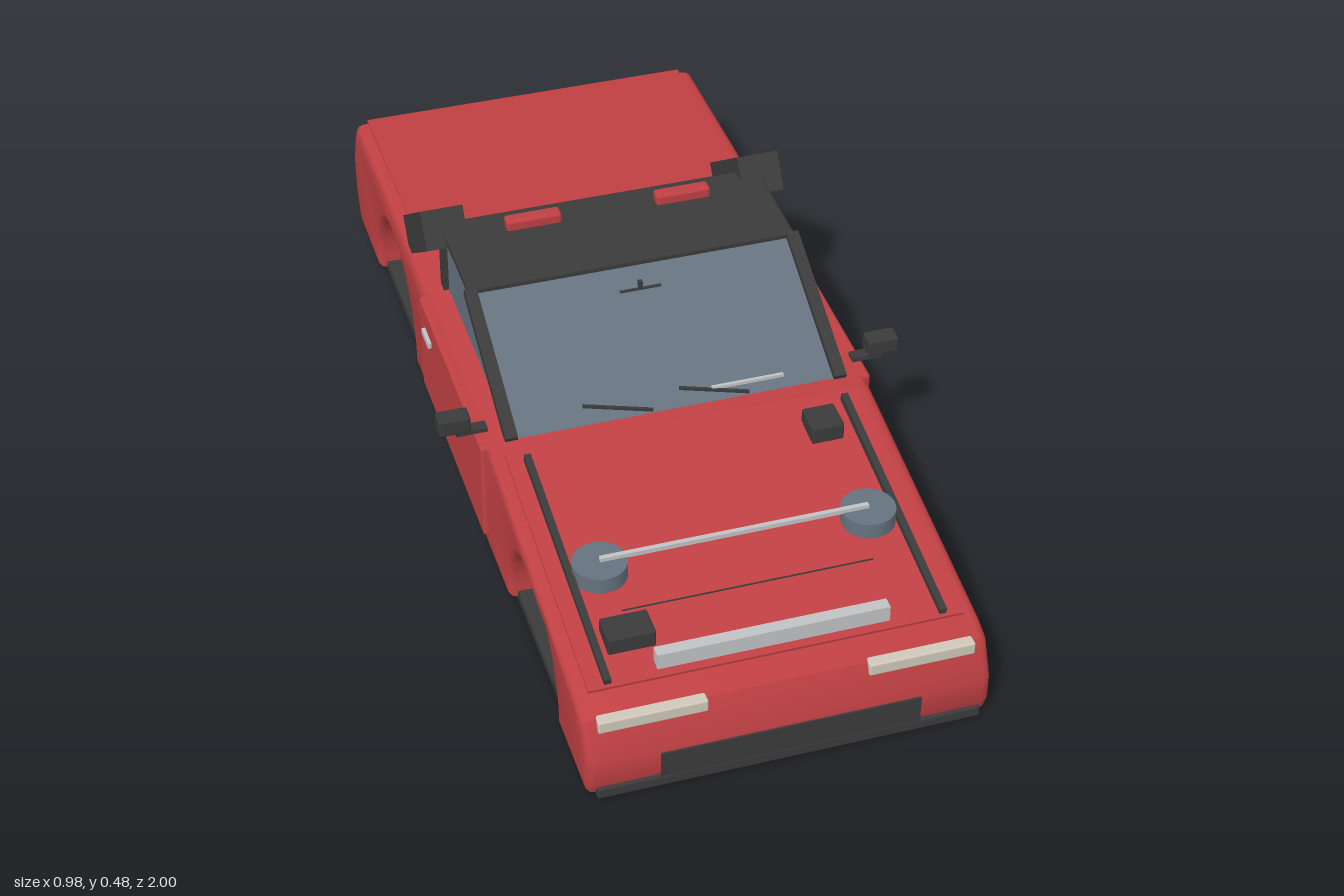
import * as THREE from 'three';
import { toCreasedNormals } from 'three/addons/utils/BufferGeometryUtils.js';
import { RoundedBoxGeometry } from 'three/addons/geometries/RoundedBoxGeometry.js';

const mat = (name, color, side = THREE.FrontSide) => {
  const m = new THREE.MeshStandardMaterial({ color, side });
  m.name = name;
  return m;
};

export function createModel() {
  const car = new THREE.Group();
  car.name = 'car';
  const red = mat('body red', 0xc04043);
  const dark = mat('dark trim', 0x3b3b3b);
  const glass = mat('glass', 0x66727f, THREE.DoubleSide);
  const silver = mat('silver', 0xc0c2c4);
  const cream = mat('lamp cream', 0xcfc8ba);
  const lamp = mat('tail lamp red', 0xb02c1c);

  const add = (name, geo, material) => {
    const m = new THREE.Mesh(geo, material);
    m.name = name;
    car.add(m);
    return m;
  };
  // Box given by its limits on each axis
  const box = (name, material, [x0, x1], [y0, y1], [z0, z1], r = 0) => {
    const s = [x1 - x0, y1 - y0, z1 - z0];
    const g = r ? new RoundedBoxGeometry(...s, 2, r) : new THREE.BoxGeometry(...s);
    const m = add(name, g, material);
    m.position.set((x0 + x1) / 2, (y0 + y1) / 2, (z0 + z1) / 2);
    return m;
  };
  // Square bar between two points
  const bar = (name, material, a, b, w, h = w) => {
    const p = new THREE.Vector3(...a), q = new THREE.Vector3(...b);
    const m = add(name, new THREE.BoxGeometry(w, h, p.distanceTo(q)), material);
    m.position.copy(p).add(q).multiplyScalar(0.5);
    m.lookAt(q);
    return m;
  };
  // Outline of (z, y) points extruded across the car
  const across = (shape, width, bevel) => {
    const g = new THREE.ExtrudeGeometry(shape, {
      depth: width - 2 * bevel, bevelEnabled: bevel > 0, bevelSize: bevel,
      bevelThickness: bevel, bevelOffset: -bevel, bevelSegments: 3, curveSegments: 28,
    });
    g.translate(0, 0, -(width - 2 * bevel) / 2);
    g.rotateY(-Math.PI / 2);
    return toCreasedNormals(g, 0.6);
  };
  // Flat pane from a loop of corners
  const pane = (name, material, pts) => {
    const g = new THREE.BufferGeometry();
    g.setAttribute('position', new THREE.Float32BufferAttribute(pts.flat(), 3));
    const idx = [];
    for (let i = 1; i < pts.length - 1; i++) idx.push(0, i, i + 1);
    g.setIndex(idx);
    g.computeVertexNormals();
    return add(name, g, material);
  };

  // Body shell with open wheel arches
  const s = new THREE.Shape();
  s.moveTo(-0.95, 0.012);
  s.lineTo(-0.755, 0.012);
  s.lineTo(-0.755, 0.05);
  s.absarc(-0.572, 0.05, 0.183, Math.PI, 0, true);
  s.lineTo(-0.389, 0.012);
  s.lineTo(0.42, 0.012);
  s.lineTo(0.42, 0.04);
  s.absarc(0.602, 0.04, 0.182, Math.PI, 0, true);
  s.lineTo(0.784, 0.012);
  s.lineTo(0.985, 0.012);
  [[0.996, 0.04], [0.996, 0.1], [0.96, 0.175], [0.92, 0.19], [0.28, 0.288], [-0.26, 0.288],
    [-0.38, 0.302], [-0.6, 0.302], [-0.935, 0.292], [-0.96, 0.255], [-0.99, 0.18],
    [-0.985, 0.1], [-0.965, 0.04]].forEach(p => s.lineTo(...p));
  s.closePath();
  add('body', across(s, 0.81, 0.018), red);

  // Floor and wheel wells
  box('floor', dark, [-0.385, 0.385], [0.005, 0.026], [-0.94, 0.965]);
  for (const [z, y] of [[0.602, 0.035], [-0.572, 0.04]]) {
    const g = new THREE.CylinderGeometry(0.178, 0.178, 0.5, 32, 1, false, 0, Math.PI);
    g.rotateZ(Math.PI / 2);
    const well = add('wheelWell', g, dark);
    well.position.set(0, y, z);
    // keep the rounded half of the drum facing up
    g.computeBoundingBox();
    if (g.boundingBox.max.y < 0.1) g.rotateX(Math.PI);
    if (g.boundingBox.max.z < 0.1) g.rotateX(-Math.PI / 2);
  }

  // Hood and rear deck panels
  const hoodY = z => 0.288 - (0.28 - z) * -0.153;
  const slope = Math.atan(0.153);
  const hood = add('hood', new THREE.BoxGeometry(0.75, 0.008, 0.61), red);
  hood.position.set(0, hoodY(0.605) + 0.002, 0.605);
  hood.rotation.x = slope;
  bar('hoodSeam', dark, [-0.26, hoodY(0.74) + 0.006, 0.74], [0.25, hoodY(0.74) + 0.006, 0.74], 0.003);
  bar('rearDeck', red, [0, 0.303, -0.46], [0, 0.293, -0.94], 0.75, 0.012);

  // Parts standing on the hood
  for (const x of [-0.275, 0.275]) {
    add('strutTower', new THREE.CylinderGeometry(0.055, 0.055, 0.035, 28), glass)
      .position.set(x, 0.252, 0.64);
  }
  bar('strutBrace', silver, [-0.275, 0.273, 0.64], [0.275, 0.273, 0.64], 0.01);
  box('radiatorBar', silver, [-0.235, 0.23], [0.195, 0.236], [0.865, 0.89]);
  box('batteryBox', dark, [-0.315, -0.22], [0.205, 0.246], [0.77, 0.835], 0.004);
  box('fluidBox', dark, [0.232, 0.3], [0.27, 0.31], [0.36, 0.43], 0.004);
  bar('cowlRod', silver, [0.08, 0.305, 0.238], [0.235, 0.305, 0.238], 0.007);

  // Cabin glass
  pane('windshield', glass, [[-0.345, 0.288, 0.26], [0.345, 0.288, 0.26], [0.345, 0.432, -0.055], [-0.345, 0.432, -0.055]]);
  pane('rearWindow', glass, [[0.31, 0.302, -0.465], [-0.31, 0.302, -0.465], [-0.31, 0.43, -0.29], [0.31, 0.43, -0.29]]);

  // Roof with two red vents
  box('roof', dark, [-0.355, 0.355], [0.422, 0.443], [-0.3, -0.05], 0.006);
  for (const x of [-0.165, 0.165]) {
    box('roofVent', red, [x - 0.06, x + 0.06], [0.438, 0.465], [-0.257, -0.225], 0.006);
  }

  // Wipers and rear-view mirror
  for (const x of [-0.19, 0.015]) {
    bar('wiper', dark, [x, 0.31, 0.225], [x + 0.14, 0.294, 0.258], 0.006);
  }
  box('mirrorBar', dark, [-0.045, 0.045], [0.403, 0.408], [-0.004, 0.004]);
  box('mirrorStem', dark, [-0.004, 0.004], [0.4, 0.425], [-0.006, 0.004]);

  // Mirrored side parts
  for (const k of [-1, 1]) {
    const side = (a, b) => (k > 0 ? [a, b] : [-b, -a]);
    pane('sideWindow', glass, [[0.348 * k, 0.288, 0.25], [0.348 * k, 0.43, -0.05],
      [0.348 * k, 0.43, -0.28], [0.348 * k, 0.288, -0.28]]);
    bar('windshieldPillar', dark, [0.35 * k, 0.29, 0.265], [0.35 * k, 0.436, -0.055], 0.026, 0.02);
    box('centrePillar', dark, side(0.335, 0.36), [0.285, 0.43], [-0.29, -0.265]);
    // sloping rear buttress
    const b = add('rearButtress', new THREE.BoxGeometry(0.092, 0.085, 0.226), dark);
    b.position.set(0.351 * k, 0.384, -0.357);
    b.rotation.x = -0.63;
    box('door', red, side(0.38, 0.416), [0.052, 0.287], [-0.265, 0.27], 0.008);
    box('doorHandle', silver, side(0.41, 0.424), [0.226, 0.24], [-0.212, -0.155]);
    box('mirrorArm', dark, side(0.39, 0.455), [0.295, 0.305], [0.205, 0.23]);
    box('sideMirror', dark, side(0.424, 0.49), [0.302, 0.34], [0.192, 0.232], 0.005);
    bar('hoodStrip', dark, [0.335 * k, hoodY(0.33) + 0.015, 0.33], [0.335 * k, hoodY(0.9) + 0.01, 0.9], 0.014, 0.018);
    box('headlight', cream, side(0.16, 0.375), [0.15, 0.178], [0.94, 0.975], 0.004);
  }

  // Front and rear trim
  box('frontGrille', dark, [-0.26, 0.26], [0.03, 0.09], [0.96, 1.0]);
  box('frontLip', dark, [-0.385, 0.385], [0.004, 0.03], [0.95, 0.999], 0.005);
  box('rearBumper', dark, [-0.36, 0.36], [0.02, 0.065], [-0.995, -0.94], 0.004);
  box('tailLamp', lamp, [-0.345, 0.345], [0.222, 0.244], [-0.99, -0.95], 0.004);
  box('rearPlate', cream, [-0.07, 0.07], [0.11, 0.175], [-1.0, -0.97]);
  return car;
}
